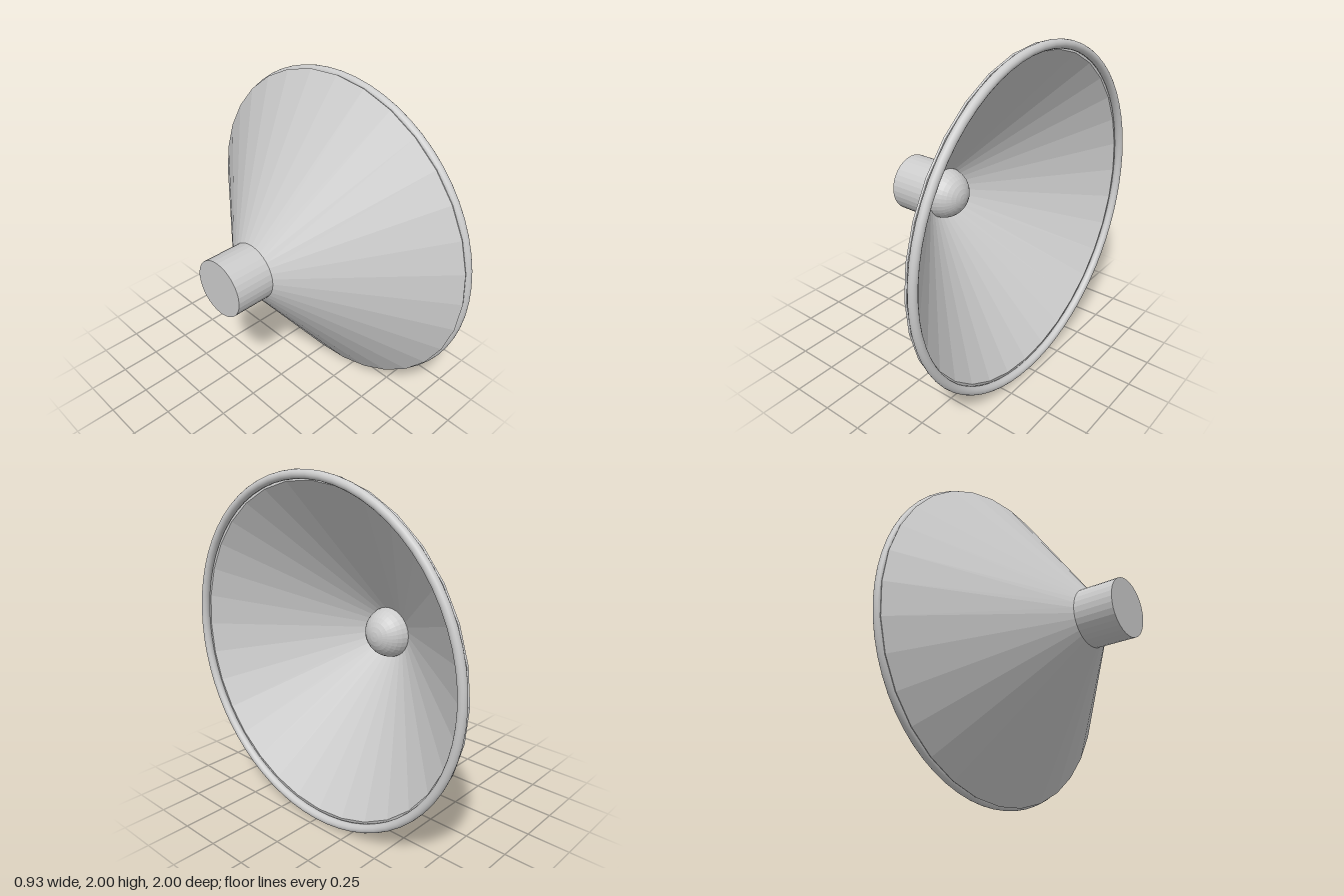
import * as THREE from 'three';

export function createModel() {
  const model = new THREE.Group();
  model.name = 'hornDish';

  // Everything is turned around y, then the assembly is laid along +x.
  const axis = new THREE.Group();
  axis.name = 'dishAssembly';
  axis.rotation.z = -Math.PI / 2;
  axis.position.y = 1;
  model.add(axis);

  const flat = new THREE.MeshStandardMaterial({ color: 0xcccccc, flatShading: true });
  const smooth = new THREE.MeshStandardMaterial({ color: 0xcccccc });

  function addPart(name, geometry, height, material) {
    const mesh = new THREE.Mesh(geometry, material);
    mesh.name = name;
    mesh.position.y = height;
    axis.add(mesh);
  }

  // Short closed neck behind the cone
  addPart('neck', new THREE.CylinderGeometry(0.173, 0.173, 0.246, 32), -0.344, flat);

  // Thin-walled flaring cone: up the outside, over the blunt lip, down the inside
  const wall = [
    [0.168, -0.227], [0.99, 0.403], [0.986, 0.412], [0.945, 0.425], [0.135, -0.205], [0.168, -0.227],
  ].map(([r, h]) => new THREE.Vector2(r, h));
  addPart('cone', new THREE.LatheGeometry(wall, 32), 0, flat);

  // Rounded ring around the mouth
  const ring = new THREE.TorusGeometry(0.975, 0.025, 16, 64).rotateX(Math.PI / 2);
  addPart('rimRing', ring, 0.441, smooth);

  // Ball seated in the throat
  addPart('throatBall', new THREE.SphereGeometry(0.155, 32, 16), -0.209, flat);

  return model;
}
